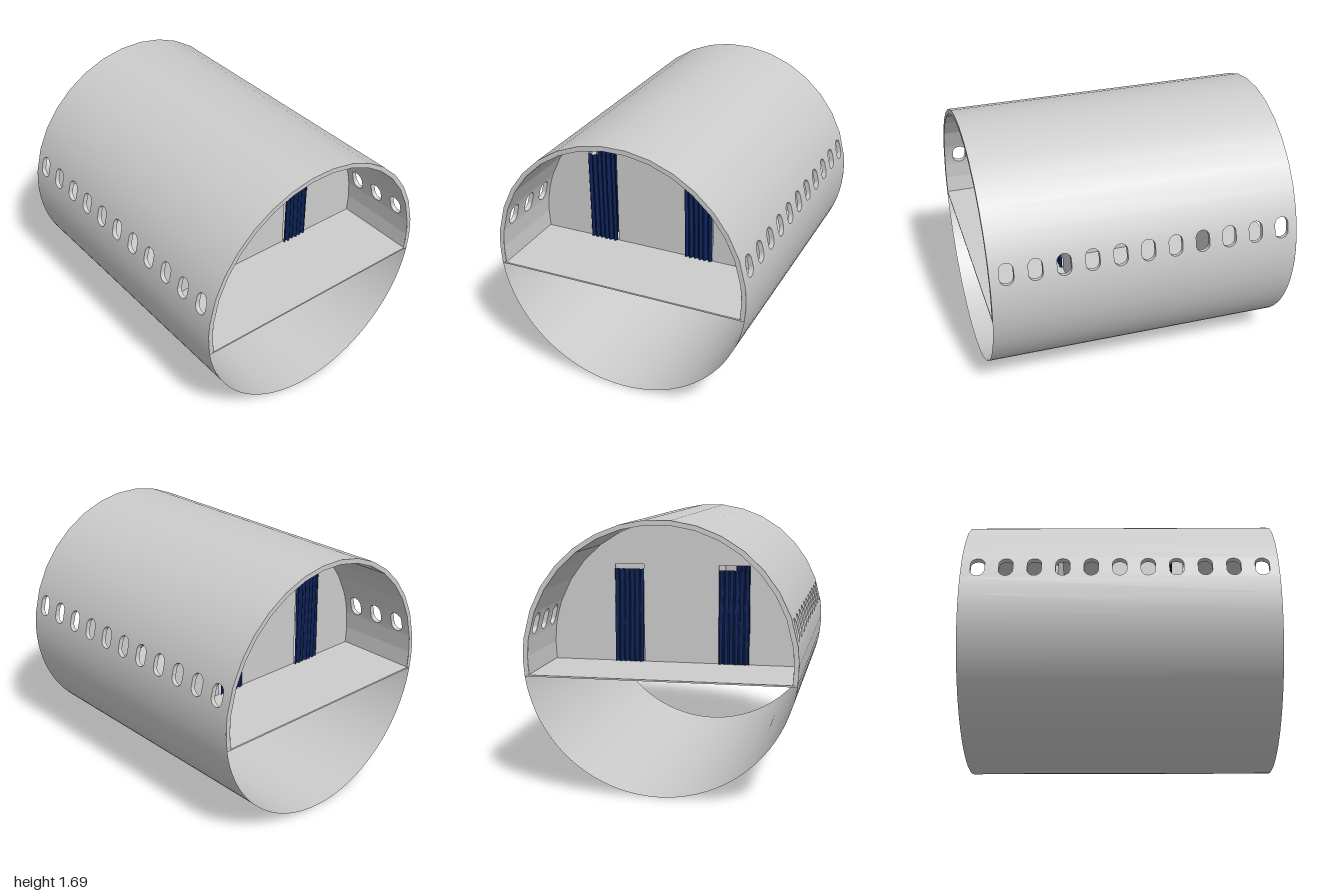
import * as THREE from 'three';

const R = 0.845, r = 0.815, CY = 0.845, FLOOR = 0.73;
const deg = Math.PI / 180;
const A0 = -7.8 * deg, A1 = 8 * deg, A2 = 20 * deg; // floor, window band bottom and top

const grey = new THREE.MeshStandardMaterial({ color: 0xcccccc, side: THREE.DoubleSide });
grey.name = 'shell grey';
const blue = new THREE.MeshStandardMaterial({ color: 0x0c2258, side: THREE.DoubleSide });
blue.name = 'curtain blue';

function add(parent, name, geometry, material = grey) {
  const mesh = new THREE.Mesh(geometry, material);
  mesh.name = name;
  parent.add(mesh);
  return mesh;
}

// Open cylinder strip along x; angles run from +z upward
function arc(radius, a0, a1, n) {
  return new THREE.CylinderGeometry(radius, radius, 2, n, 1, true, -a1, a1 - a0)
    .rotateZ(-Math.PI / 2).translate(0, CY, 0);
}

// Thick strip: smooth outside, faceted lining, closed ends
function shell(parent, name, a0, a1, n) {
  const g = new THREE.Group();
  g.name = name;
  add(g, 'outerSkin', arc(R, a0, a1, n));
  const lining = arc(r, a0, a1, n).toNonIndexed();
  lining.computeVertexNormals();
  add(g, 'innerLining', lining);
  for (const x of [-1, 1]) {
    const rim = new THREE.RingGeometry(r, R, n, 1, Math.PI - a1, a1 - a0);
    rim.rotateY(Math.PI / 2).scale(1, 1, 1).translate(x, CY, 0);
    add(g, 'endRim', rim);
  }
  parent.add(g);
}

// Flat panel with window holes, bent round the hull axis
function windowBand() {
  const shape = new THREE.Shape();
  shape.moveTo(-1, A1 * R).lineTo(1, A1 * R).lineTo(1, A2 * R).lineTo(-1, A2 * R).closePath();
  const s = 13.9 * deg * R, w = 0.045, h = 0.026;
  for (let i = -5; i <= 5; i++) {
    const hole = new THREE.Path(), x = i * 0.179;
    hole.absarc(x, s + h, w, 0, Math.PI, false);
    hole.absarc(x, s - h, w, Math.PI, 2 * Math.PI, false);
    hole.closePath();
    shape.holes.push(hole);
  }
  const g = new THREE.ExtrudeGeometry(shape, { depth: R - r, bevelEnabled: false, curveSegments: 10 });
  const p = g.attributes.position, nor = g.attributes.normal;
  for (let i = 0; i < p.count; i++) {
    const a = p.getY(i) / R, q = r + p.getZ(i), c = Math.cos(a), t = Math.sin(a);
    const ny = nor.getY(i), nz = nor.getZ(i);
    p.setXYZ(i, p.getX(i), CY + q * t, q * c);
    nor.setXYZ(i, nor.getX(i), ny * c + nz * t, nz * c - ny * t);
  }
  return g;
}

// Cross wall with two doorways (shape x is -z)
function bulkhead() {
  const a = Math.asin((CY - FLOOR) / r), top = 1.37;
  const s = new THREE.Shape();
  s.moveTo(-r * Math.cos(a), FLOOR);
  for (const [u0, u1] of [[-0.48, -0.28], [0.21, 0.4]]) {
    s.lineTo(u0, FLOOR).lineTo(u0, top).lineTo(u1, top).lineTo(u1, FLOOR);
  }
  s.lineTo(r * Math.cos(a), FLOOR);
  s.absarc(0, CY, r, -a, Math.PI + a, false);
  return new THREE.ExtrudeGeometry(s, { depth: 0.016, bevelEnabled: false, curveSegments: 18 })
    .rotateY(Math.PI / 2).translate(-0.008, 0, 0);
}

// Pleated cloth hanging across an aisle
function curtain(z0, z1) {
  const h = 1.34 - FLOOR;
  const g = new THREE.PlaneGeometry(z1 - z0, h, 60, 6);
  const p = g.attributes.position;
  for (let i = 0; i < p.count; i++) {
    const u = p.getX(i), v = p.getY(i);
    p.setZ(i, 0.008 * Math.sin(u * 190 + Math.sin(v * 6) * 0.4) + 0.003 * Math.sin(u * 75));
  }
  g.computeVertexNormals();
  return g.rotateY(Math.PI / 2).translate(0, FLOOR + h / 2, (z0 + z1) / 2);
}

export function createModel() {
  const model = new THREE.Group();
  model.name = 'cabinSection';

  // Hull
  add(model, 'lowerHull', arc(R, Math.PI - A0, 2 * Math.PI + A0, 40));
  shell(model, 'roofShell', A2, Math.PI - A2, 13);
  shell(model, 'frontSill', A0, A1, 2);
  shell(model, 'backSill', Math.PI - A1, Math.PI - A0, 2);
  const band = windowBand();
  add(model, 'frontWindowBand', band);
  add(model, 'backWindowBand', band).rotation.y = Math.PI;

  // Floor
  add(model, 'floor', new THREE.BoxGeometry(2, 0.01, 1.668).translate(0, FLOOR - 0.003, 0));

  // Cross walls and the block between the aisles
  const wall = bulkhead();
  for (const x of [-0.435, 0.435]) add(model, 'bulkhead', wall).position.x = x;
  add(model, 'centreBlock', new THREE.BoxGeometry(0.53, 0.8, 0.55).translate(0.165, FLOOR + 0.4, -0.005));

  // Curtains
  const front = curtain(0.28, 0.48), back = curtain(-0.4, -0.21);
  for (const x of [-0.455, 0.455]) {
    add(model, 'frontCurtain', front, blue).position.x = x;
    add(model, 'backCurtain', back, blue).position.x = x;
  }
  add(model, 'innerCurtain', front, blue).position.x = 0.335;
  return model;
}
